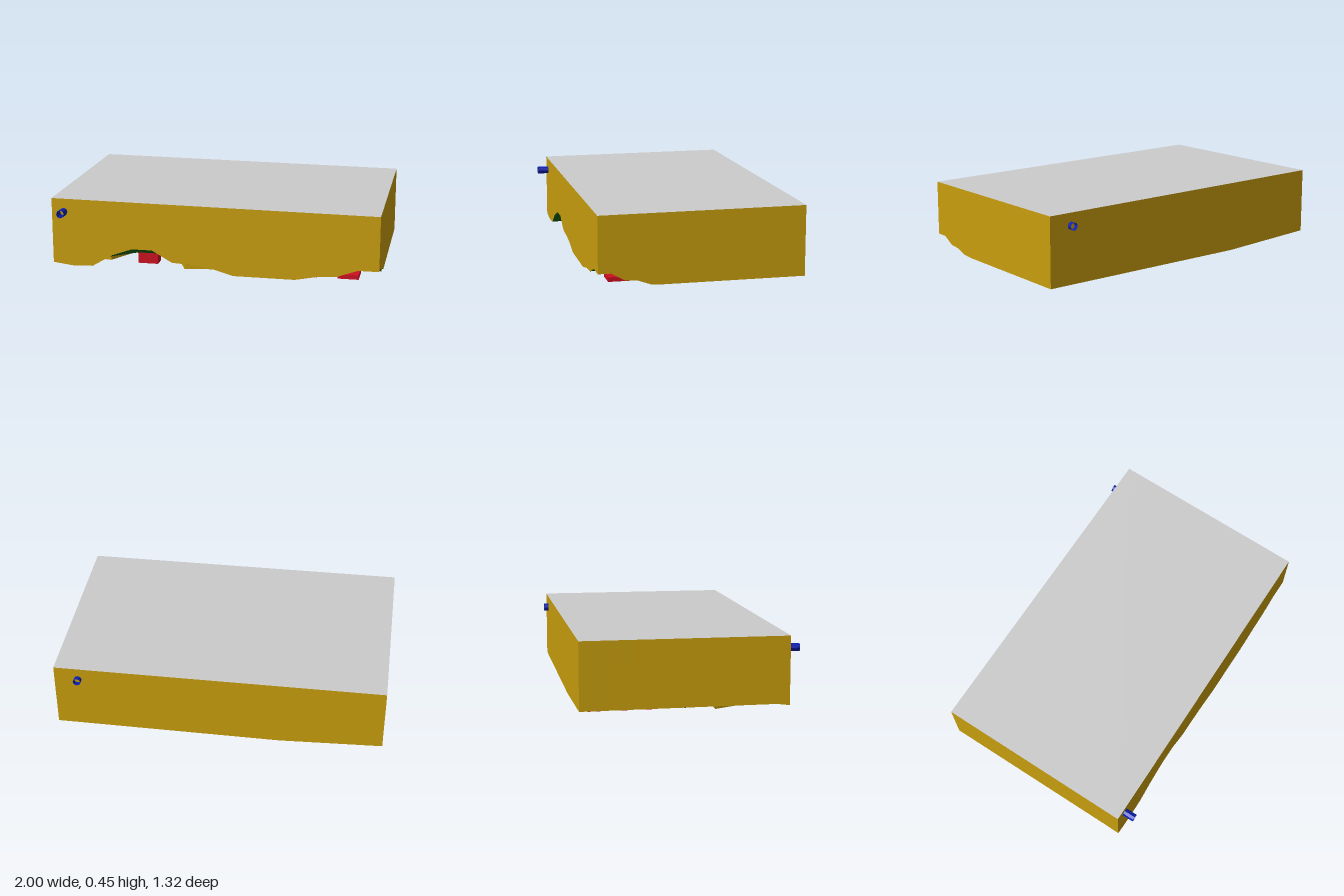
import * as THREE from 'three';

const N = 16, Z0 = -0.63, Z1 = 0.59, CX = 2 / N, CZ = (Z1 - Z0) / N;
const mat = (color) => new THREE.MeshStandardMaterial({ color, side: THREE.DoubleSide, flatShading: true });
const ochre = mat(0xc89e0d), green = mat(0x176410), red = mat(0xcc1020), blue = mat(0x0a1fb0), grey = mat(0xcccccc);

// relief of the underside: heights along the front edge, fading towards the back
const FRONT = [0.035, 0.02, 0.025, 0.1, 0.145, 0.145, 0.075, 0.068, 0.05, 0.015, 0.015, 0.015, 0.015, 0.04, 0.05, 0.095, 0.095];
const FADE = [1, 1, 0.55, 0.48, 0.2];
const topY = (x, z) => 0.438 - 0.006 * x - 0.004 * z;

function reliefY(x, z) {
  const i = Math.round((x + 1) / CX), k = Math.round((Z1 - z) / CZ);
  const inner = i > 0 && i < N && k > 0 && k < N;
  const left = Math.max(0, 0.03 * (1 - i / 5));
  const base = inner ? 0.028 : 0.015 + left * (k > 0 ? 1 : 0);
  return Math.max(base, FRONT[i] * (FADE[k] ?? 0));
}

function mesh(parent, name, geometry, material) {
  const m = new THREE.Mesh(geometry, material);
  m.name = name;
  parent.add(m);
  return m;
}

// wall strip between the relief edge and the lid
function wallGeometry(a, b) {
  const pos = [], index = [];
  for (let i = 0; i <= N; i++) {
    const x = a[0] + (b[0] - a[0]) * i / N, z = a[1] + (b[1] - a[1]) * i / N;
    pos.push(x, reliefY(x, z), z, x, topY(x, z), z);
    if (i < N) {
      const p = 2 * i;
      index.push(p, p + 2, p + 1, p + 1, p + 2, p + 3);
    }
  }
  const g = new THREE.BufferGeometry();
  g.setAttribute('position', new THREE.Float32BufferAttribute(pos, 3));
  g.setIndex(index);
  g.computeVertexNormals();
  return g;
}

// grid sheet facing up or down, shaped by a height rule
function sheetGeometry(n, up, rule) {
  const g = new THREE.PlaneGeometry(2, Z1 - Z0, n, n);
  g.rotateX(up ? -Math.PI / 2 : Math.PI / 2);
  g.translate(0, 0, (Z0 + Z1) / 2);
  const p = g.attributes.position;
  for (let i = 0; i < p.count; i++) p.setY(i, rule(p.getX(i), p.getZ(i)));
  g.computeVertexNormals();
  return g;
}

// flat polygon plate on the underside, points given as x, z
function plate(parent, name, points, y0, y1, materials) {
  const shape = new THREE.Shape(points.map(([x, z]) => new THREE.Vector2(x, z)));
  const g = new THREE.ExtrudeGeometry(shape, { depth: y1 - y0, bevelEnabled: false });
  g.rotateX(Math.PI / 2);
  g.translate(0, y1, 0);
  return mesh(parent, name, g, materials);
}

export function createModel() {
  const model = new THREE.Group();
  model.name = 'terrainBlock';

  // outer block
  const corners = [[-1, Z1], [1, Z1], [1, Z0], [-1, Z0]];
  ['frontWall', 'leftWall', 'backWall', 'rightWall'].forEach((name, i) =>
    mesh(model, name, wallGeometry(corners[i], corners[(i + 1) % 4]), ochre));
  mesh(model, 'lid', sheetGeometry(1, true, topY), grey);
  mesh(model, 'terrain', sheetGeometry(N, false, reliefY), green);

  // terraces with ochre banks
  plate(model, 'terrace', [[0.13, 0.47], [0.13, 0.235], [-0.09, 0.12], [-0.26, 0.35], [-0.19, 0.52]], 0.018, 0.045, [green, ochre]);
  plate(model, 'terrace', [[-0.68, 0.43], [-0.53, 0.16], [-0.95, 0.16], [-0.84, 0.4]], 0.018, 0.045, [green, ochre]);
  plate(model, 'smallBank', [[0.6, -0.28], [0.5, -0.33], [0.47, -0.28], [0.5, -0.31]], 0.022, 0.04, ochre);

  // houses, each filling one terrain cell
  const houses = [
    [0.69, -0.52], [0.44, -0.46], [0.19, -0.51], [0.19, -0.31], [-0.06, -0.53], [-0.31, -0.51], [-0.19, -0.4],
    [-0.06, -0.2], [-0.56, -0.47], [-0.44, -0.32], [-0.31, -0.2], [-0.81, -0.53], [-0.81, -0.37], [-0.56, -0.28],
    [-0.81, -0.22], [-0.69, -0.15], [-0.31, 0.08], [0.31, 0.1], [0.19, 0.31], [0.31, 0.4], [0.56, 0.18],
    [0.56, 0.31], [0.56, 0.47], [0.81, 0.24], [0.81, 0.4], [0.81, 0.47], [-0.44, 0.4], [-0.44, 0.25]];
  const group = new THREE.Group();
  group.name = 'houses';
  model.add(group);
  for (const [x, z] of houses) {
    const low = 0.013, high = Math.max(0.04, reliefY(x, z) + 0.01);
    const h = mesh(group, 'house', new THREE.BoxGeometry(CX, high - low, CZ), red);
    h.position.set(x, (low + high) / 2, z);
  }

  // river: thin ribbon with a broad reach in the middle
  const river = [[0.79, -0.005], [-0.04, -0.13], [-0.25, -0.115], [-0.42, -0.06], [-0.6, -0.04], [-0.855, 0.005]];
  const widths = [0.005, 0.007, 0.012, 0.028, 0.01, 0.005];
  const bank = (s) => river.map(([x, z], i) => [x, z + s * widths[i]]);
  plate(model, 'river', [...bank(1), ...bank(-1).reverse()], 0.008, 0.025, blue);
  const bend = mesh(model, 'riverBend', new THREE.ConeGeometry(0.015, 0.02, 4), blue);
  bend.rotation.x = Math.PI;
  bend.position.set(-0.03, 0.01, -0.13);

  // pipe stubs at opposite corners
  for (const [name, x, y, z0, z1] of [['frontPipe', -0.925, 0.36, 0.56, 0.66], ['backPipe', 0.855, 0.36, -0.66, -0.6]]) {
    const g = new THREE.CylinderGeometry(0.024, 0.024, z1 - z0, 8, 1, true).rotateX(Math.PI / 2);
    mesh(model, name, g, blue).position.set(x, y, (z0 + z1) / 2);
  }
  return model;
}
